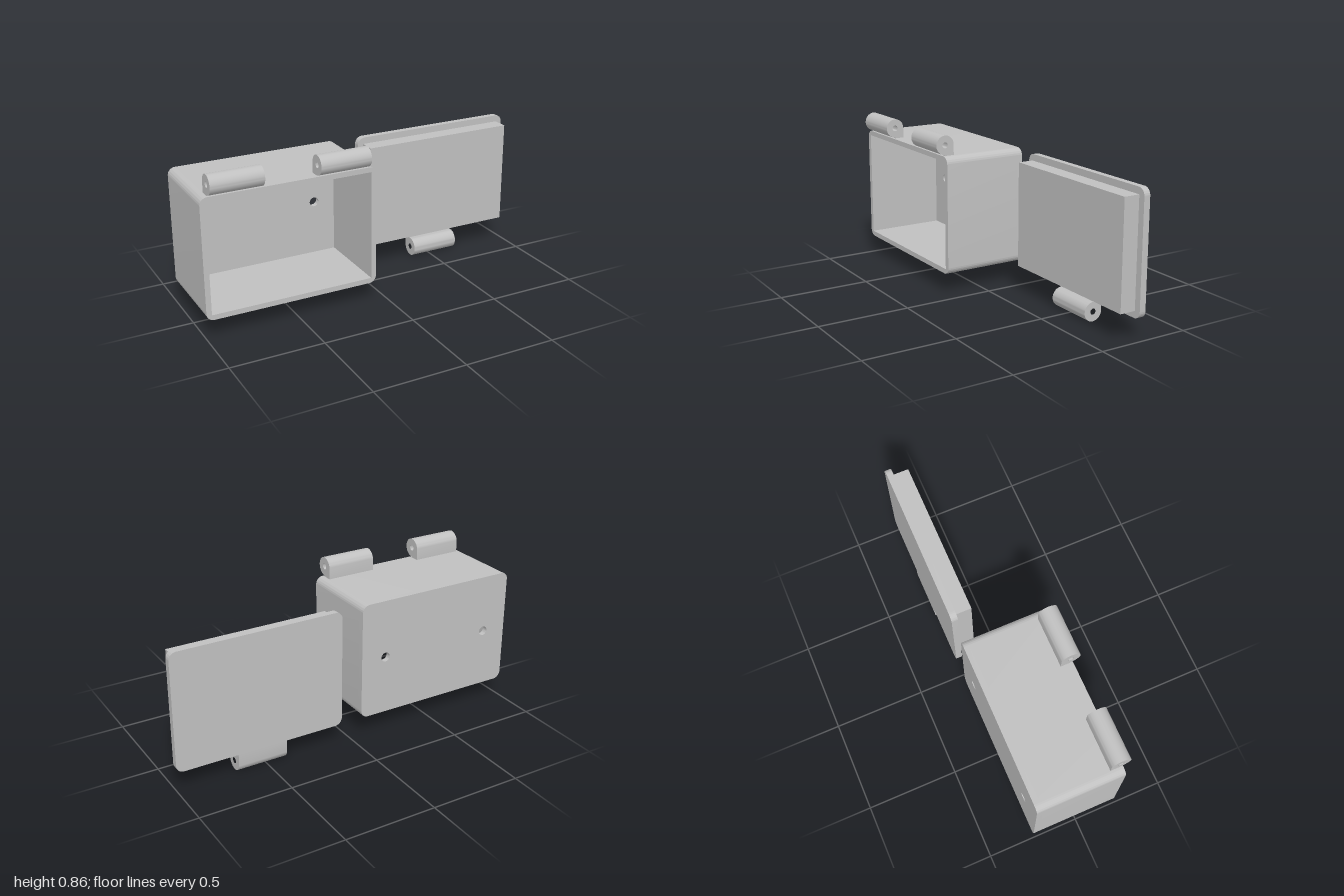
import * as THREE from 'three';
import { toCreasedNormals } from 'three/addons/utils/BufferGeometryUtils.js';

const gray = new THREE.MeshStandardMaterial({ color: 0xc0c0c0 });
gray.name = 'plain gray';

const BOTTOM = 0.11, TOP = 0.756, BACK = -0.252;

// Rectangle outline with optional rounded corners
function rect(x0, y0, x1, y1, r = 0, Type = THREE.Shape) {
  const s = new Type();
  if (!r) {
    s.moveTo(x0, y0).lineTo(x1, y0).lineTo(x1, y1).lineTo(x0, y1).closePath();
    return s;
  }
  s.moveTo(x0 + r, y0);
  s.absarc(x1 - r, y0 + r, r, -Math.PI / 2, 0);
  s.absarc(x1 - r, y1 - r, r, 0, Math.PI / 2);
  s.absarc(x0 + r, y1 - r, r, Math.PI / 2, Math.PI);
  s.absarc(x0 + r, y0 + r, r, Math.PI, Math.PI * 1.5);
  return s;
}

function circleHole(x, y, r) {
  return new THREE.Path().absarc(x, y, r, 0, Math.PI * 2, true);
}

function extrude(shape, depth) {
  const g = new THREE.ExtrudeGeometry(shape, { depth, bevelEnabled: false, curveSegments: 16 });
  return toCreasedNormals(g, 0.6);
}

function slab(name, shape, z0, z1) {
  const m = new THREE.Mesh(extrude(shape, z1 - z0), gray);
  m.name = name;
  m.position.z = z0;
  return m;
}

// Hinge barrel along x with a pin hole and a foot; dir -1 = foot below, 1 = foot above
function knuckle(name, x0, x1, y, z, footEnd, dir) {
  const r = 0.052, foot = 0.0585, a = Math.acos(footEnd / r);
  const s = new THREE.Shape();
  s.moveTo(-r, dir * foot);
  s.lineTo(footEnd, dir * foot);
  s.absarc(0, 0, r, dir * a, Math.PI, dir > 0);
  s.closePath();
  s.holes.push(circleHole(0, 0, 0.016));
  const g = extrude(s, x1 - x0);
  g.rotateY(-Math.PI / 2);
  const m = new THREE.Mesh(g, gray);
  m.name = name;
  m.position.set(x1, y, z);
  return m;
}

export function createModel() {
  const model = new THREE.Group();
  model.name = 'hingedBox';

  // Open box: back wall with screw holes, side walls and two hinge barrels
  const box = new THREE.Group();
  box.name = 'box';
  const floorZ = BACK + 0.03;
  const back = rect(-1, BOTTOM, -0.062, TOP, 0.04);
  for (const x of [-0.855, -0.208]) back.holes.push(circleHole(x, 0.435, 0.026));
  const walls = rect(-1, BOTTOM, -0.062, TOP, 0.04);
  walls.holes.push(rect(-0.972, 0.138, -0.09, 0.729, 0, THREE.Path));
  box.add(
    slab('backWall', back, BACK, floorZ),
    slab('sideWalls', walls, floorZ, 0.217),
    knuckle('outerHinge', -0.957, -0.68, 0.813, 0.203, 0, -1),
    knuckle('innerHinge', -0.385, -0.107, 0.813, 0.203, 0, -1)
  );

  // Lid: rounded plate, raised plug and a single hinge barrel
  const lid = new THREE.Group();
  lid.name = 'lid';
  lid.add(
    slab('lidPlate', rect(0.06, BOTTOM, 1, TOP, 0.04), BACK, -0.217),
    slab('lidPlug', rect(0.091, 0.147, 0.964, 0.72), -0.217, -0.13),
    knuckle('lidHinge', 0.39, 0.665, 0.052, -0.2, -0.017, 1)
  );

  model.add(box, lid);
  return model;
}
